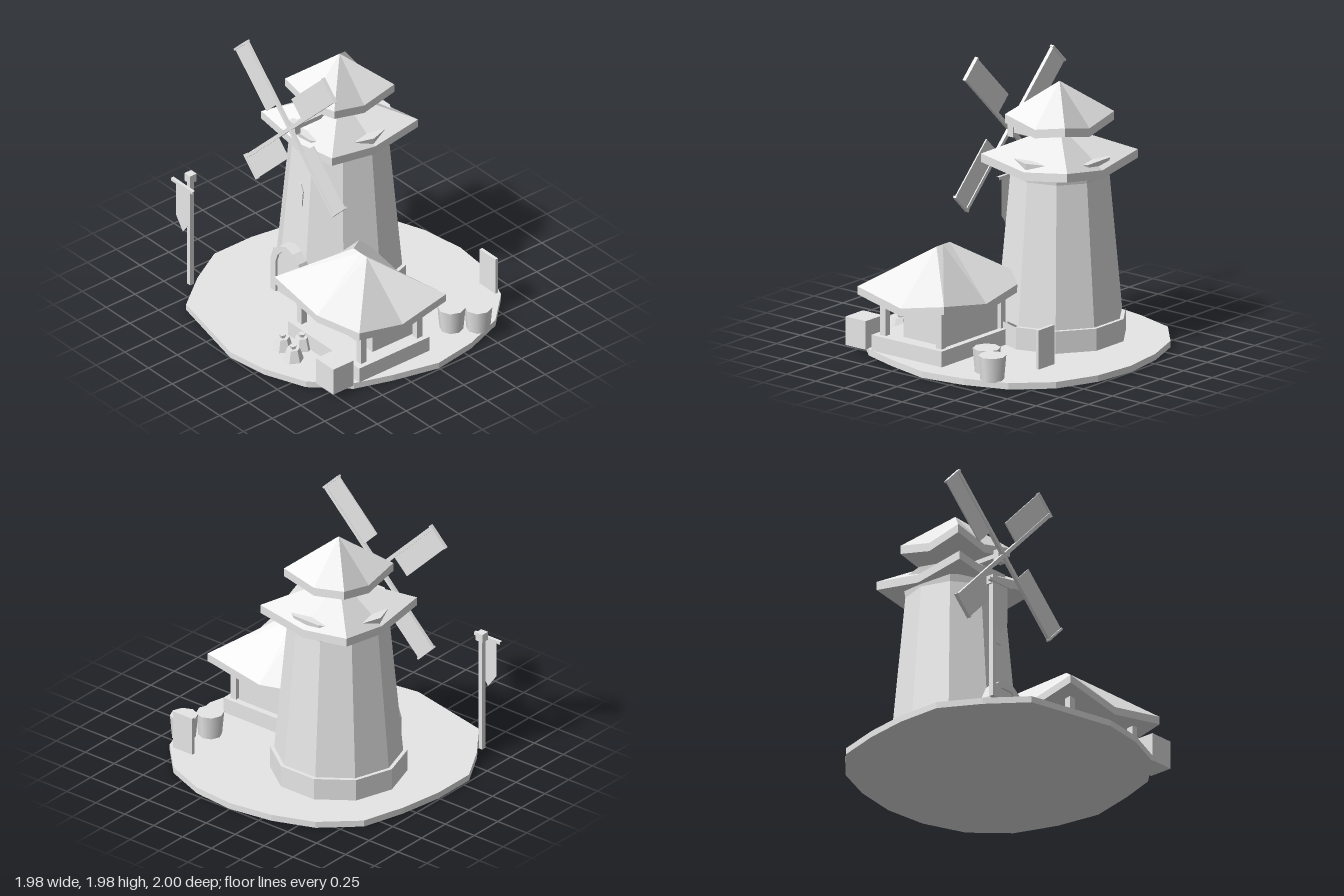
import * as THREE from 'three';

const stone = new THREE.MeshStandardMaterial({ color: 0xe7e7e7 });
stone.name = 'plain grey';

// Meshes are faceted unless marked smooth
function add(parent, name, geometry, x = 0, y = 0, z = 0, smooth = false) {
  const g = geometry.index && !smooth ? geometry.toNonIndexed() : geometry;
  if (!smooth) g.computeVertexNormals();
  const mesh = new THREE.Mesh(g, stone);
  mesh.name = name;
  mesh.position.set(x, y, z);
  parent.add(mesh);
  return mesh;
}

// Box given by its minimum and maximum corners
function block(parent, name, [x0, y0, z0], [x1, y1, z1]) {
  return add(parent, name, new THREE.BoxGeometry(x1 - x0, y1 - y0, z1 - z0),
    (x0 + x1) / 2, (y0 + y1) / 2, (z0 + z1) / 2);
}

// Drum standing between two heights
function drum(parent, name, sides, rBottom, rTop, y0, y1, x, z, { turn = 0, open = false, smooth = false } = {}) {
  const g = new THREE.CylinderGeometry(rTop, rBottom, y1 - y0, sides, 1, open);
  g.rotateY(turn);
  return add(parent, name, g, x, (y0 + y1) / 2, z, smooth);
}

// Flat outline extruded towards +z
function plate(parent, name, points, depth, x, y, z) {
  const shape = new THREE.Shape(points.map(([a, b]) => new THREE.Vector2(a, b)));
  return add(parent, name, new THREE.ExtrudeGeometry(shape, { depth, bevelEnabled: false }), x, y, z);
}

// Hipped roof with raised corners, sagging eaves and a shallow closed underside
function roof(parent, name, x, z, hx, hz, ridge, yCorner, yMid, yTop, yUnder, thick) {
  const dirs = [[1, 1], [1, 0], [1, -1], [0, -1], [-1, -1], [-1, 0], [-1, 1], [0, 1]];
  const pos = [];
  const tri = (a, b, c) => pos.push(...a, ...b, ...c);
  const eave = ([dx, dz], drop) => [dx * hx, (dx && dz ? yCorner : yMid) - drop, dz * hz];
  const peak = ([dx]) => [dx * ridge, yTop, 0];
  const under = [0, yUnder, 0];
  dirs.forEach((d, i) => {
    const e = dirs[(i + 1) % 8];
    tri(eave(d, 0), eave(e, 0), peak(e));
    if (ridge > 0 && d[0] !== e[0]) tri(eave(d, 0), peak(e), peak(d));
    tri(eave(e, thick), eave(d, thick), under);
    tri(eave(d, thick), eave(e, thick), eave(e, 0));
    tri(eave(d, thick), eave(e, 0), eave(d, 0));
  });
  const g = new THREE.BufferGeometry();
  g.setAttribute('position', new THREE.Float32BufferAttribute(pos, 3));
  return add(parent, name, g, x, 0, z);
}

function buildGround(root) {
  const rim = [[0, -1], [-.32, -.95], [-.61, -.84], [-.85, -.62], [-.94, -.31], [-.99, 0],
    [-.99, .32], [-.835, .595], [-.635, .857], [0, .998], [.3, .955], [.6, .835], [.82, .6],
    [.91, .33], [.99, 0], [.94, -.32], [.83, -.62], [.61, -.85], [.31, -.97]];
  const ground = plate(root, 'ground', rim.map(([x, z]) => [x, -z]), 0.045, 0, 0, 0);
  ground.rotation.x = -Math.PI / 2;
}

function buildTower(root) {
  const tower = new THREE.Group();
  tower.name = 'tower';
  root.add(tower);
  const x = -0.26, z = -0.166, turn = Math.PI / 10;
  drum(tower, 'plinth', 10, 0.46, 0.46, 0.04, 0.2, x, z, { turn, open: true });
  drum(tower, 'towerWall', 10, 0.433, 0.342, 0.2, 1.186, x, z, { turn });
  drum(tower, 'towerCap', 10, 0.342, 0.363, 1.186, 1.322, x, z, { turn });
  roof(tower, 'lowerRoof', x, z, 0.373, 0.373, 0, 1.324, 1.263, 1.508, 1.195, 0.06);
  roof(tower, 'upperRoof', x, z, 0.26, 0.26, 0, 1.595, 1.535, 1.818, 1.46, 0.06);

  // Arched doorway
  const outer = [[.162, 0], [.162, .25], [.132, .335], [.07, .385], [0, .41],
    [-.07, .385], [-.132, .335], [-.162, .25], [-.162, 0]];
  const inner = [[-.11, 0], [-.11, .24], [-.09, .3], [-.05, .345], [.05, .345],
    [.09, .3], [.11, .24], [.11, 0]];
  plate(tower, 'doorFrame', [...outer, ...inner], 0.15, -0.26, 0.05, 0.15);
  plate(tower, 'door', inner.slice().reverse(), 0.13, -0.26, 0.05, 0.153);

  // Small arched window lying on the sloping wall
  const win = plate(tower, 'window', [[-.05, 0], [.05, 0], [.05, .11], [.025, .16],
    [-.025, .16], [-.05, .11]], 0.026, -0.26, 0.77, 0.178);
  win.rotation.x = -0.088;
}

function buildSails(root) {
  const wheel = new THREE.Group();
  wheel.name = 'sailWheel';
  wheel.position.set(-0.257, 1.4, 0.265);
  root.add(wheel);
  for (let i = 0; i < 4; i++) {
    const sail = new THREE.Group();
    sail.name = 'sail';
    sail.rotation.z = Math.PI / 4 + i * Math.PI / 2;
    block(sail, 'sailArm', [0, -0.014, -0.013], [0.645, 0.012, 0.013]);
    block(sail, 'sailPanel', [0.185, 0.01, -0.005], [0.645, 0.162, 0.005]);
    block(sail, 'sailTip', [0.643, -0.021, -0.014], [0.658, 0.166, 0.014]);
    wheel.add(sail);
  }
  block(wheel, 'hub', [-0.035, -0.043, -0.06], [0.035, 0.043, -0.012]);
  const axle = add(wheel, 'axle', new THREE.CylinderGeometry(0.032, 0.032, 0.31, 6), 0, 0.005, -0.205);
  axle.rotation.x = Math.PI / 2;
}

function buildHouse(root) {
  const house = new THREE.Group();
  house.name = 'house';
  root.add(house);
  block(house, 'floor', [0.085, 0.04, -0.045], [0.835, 0.155, 0.565]);
  block(house, 'room', [0.19, 0.15, 0.0], [0.735, 0.42, 0.367]);
  for (const x of [0.15, 0.775])
    for (const z of [0.01, 0.497])
      block(house, 'post', [x - 0.024, 0.15, z - 0.024], [x + 0.024, 0.42, z + 0.024]);
  roof(house, 'houseRoof', 0.462, 0.25, 0.447, 0.375, 0.07, 0.5, 0.417, 0.763, 0.346, 0.055);
}

function buildProps(root) {
  block(root, 'crate', [0.652, 0.04, 0.615], [0.834, 0.24, 0.79]);

  for (const [x, z] of [[0.825, -0.475], [0.713, -0.335]])
    drum(root, 'barrel', 8, 0.08, 0.095, 0.04, 0.212, x, z, { smooth: true });

  // Tied sacks
  const turn = Math.PI / 6;
  for (const [x, z] of [[0.185, 0.694], [0.333, 0.725], [0.26, 0.59]]) {
    drum(root, 'sack', 6, 0.073, 0.045, 0.04, 0.132, x, z, { turn });
    drum(root, 'sackKnot', 6, 0.018, 0.025, 0.13, 0.156, x, z, { turn });
  }

  // Banner pole
  const pole = new THREE.Group();
  pole.name = 'bannerPole';
  root.add(pole);
  block(pole, 'pole', [-0.833, 0.04, 0.652], [-0.8, 0.87, 0.686]);
  block(pole, 'poleTop', [-0.845, 0.865, 0.64], [-0.787, 0.925, 0.698]);
  const barShape = new THREE.CylinderGeometry(0.0155, 0.0155, 0.228, 4, 1, true);
  barShape.rotateY(Math.PI / 4);
  add(pole, 'crossbar', barShape, -0.816, 0.853, 0.735).rotation.z = Math.PI / 2;
  plate(pole, 'banner', [[-.073, .36], [-.073, .1], [0, 0], [.073, .1], [.073, .36]],
    0.002, -0.816, 0.485, 0.734);

  block(root, 'backBoard', [0.52, 0.133, -0.762], [0.685, 0.407, -0.738]);
}

export function createModel() {
  const root = new THREE.Group();
  root.name = 'windmill';
  buildGround(root);
  buildTower(root);
  buildSails(root);
  buildHouse(root);
  buildProps(root);
  return root;
}
